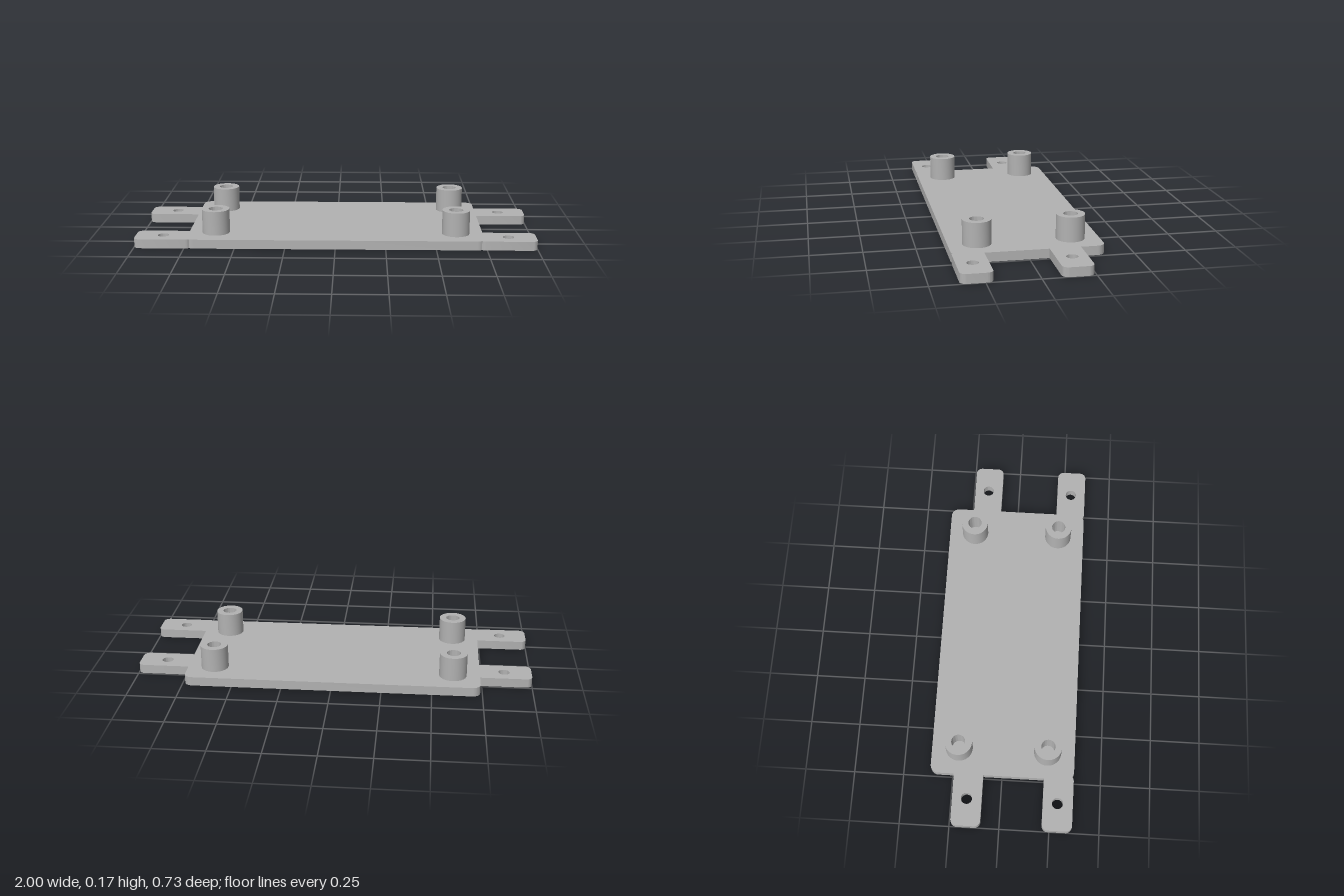
import * as THREE from 'three';
import { toCreasedNormals } from 'three/addons/utils/BufferGeometryUtils.js';

const THICK = 0.046, TOP = 0.168;

// Points along an arc in the x/z plane, angles in degrees (90 faces +z)
function arc(cx, cz, r, from, to, steps = 10) {
  return Array.from({ length: steps + 1 }, (_, i) => {
    const a = THREE.MathUtils.degToRad(from + (to - from) * i / steps);
    return [cx + r * Math.cos(a), cz + r * Math.sin(a)];
  });
}

// Rounded outer end of a mounting tab
const tabEnd = (front, back, r = 0.03) => [
  ...arc(1 - r, front - r, r, 90, 0),
  ...arc(1 - r, back + r, r, 0, -90),
];

export function createModel() {
  const group = new THREE.Group();
  const grey = new THREE.MeshStandardMaterial({ color: 0xb2b2b2 });
  grey.name = 'light grey';

  const add = (name, geometry, x = 0, z = 0) => {
    const mesh = new THREE.Mesh(toCreasedNormals(geometry, 0.6), grey);
    mesh.name = name;
    mesh.position.set(x, 0, z);
    group.add(mesh);
  };

  // Plate outline: half from front to back, then its mirror
  const half = [
    ...arc(0.70, 0.323, 0.04, 90, 52.6),
    ...arc(0.745, 0.333, 0.03, 133.5, 90).slice(1),
    ...tabEnd(0.363, 0.212),
    [0.74, 0.212], [0.74, -0.094],
    ...tabEnd(-0.094, -0.243),
    [0.74, -0.243],
    ...arc(0.70, -0.323, 0.04, 0, -90),
  ];
  const outline = [...half, ...half.map(([x, z]) => [-x, z]).reverse()];
  const shape = new THREE.Shape(outline.map(([x, z]) => new THREE.Vector2(x, -z)));

  // Screw holes through the tabs
  for (const x of [-0.862, 0.862]) {
    for (const z of [-0.17, 0.286]) {
      shape.holes.push(new THREE.Path().absarc(x, -z, 0.028, 0, Math.PI * 2, true));
    }
  }
  const plate = new THREE.ExtrudeGeometry(shape, { depth: THICK, bevelEnabled: false, curveSegments: 16 });
  add('basePlate', plate.rotateX(-Math.PI / 2));

  // Hollow standoffs
  const profile = [[0.069, THICK], [0.069, TOP], [0.035, TOP], [0.035, THICK]]
    .map(([r, y]) => new THREE.Vector2(r, y));
  for (const x of [-0.604, 0.604]) {
    for (const z of [-0.225, 0.225]) {
      const side = (z > 0 ? 'front' : 'back') + (x > 0 ? 'Left' : 'Right');
      add(side + 'Standoff', new THREE.LatheGeometry(profile, 40), x, z);
    }
  }
  return group;
}
